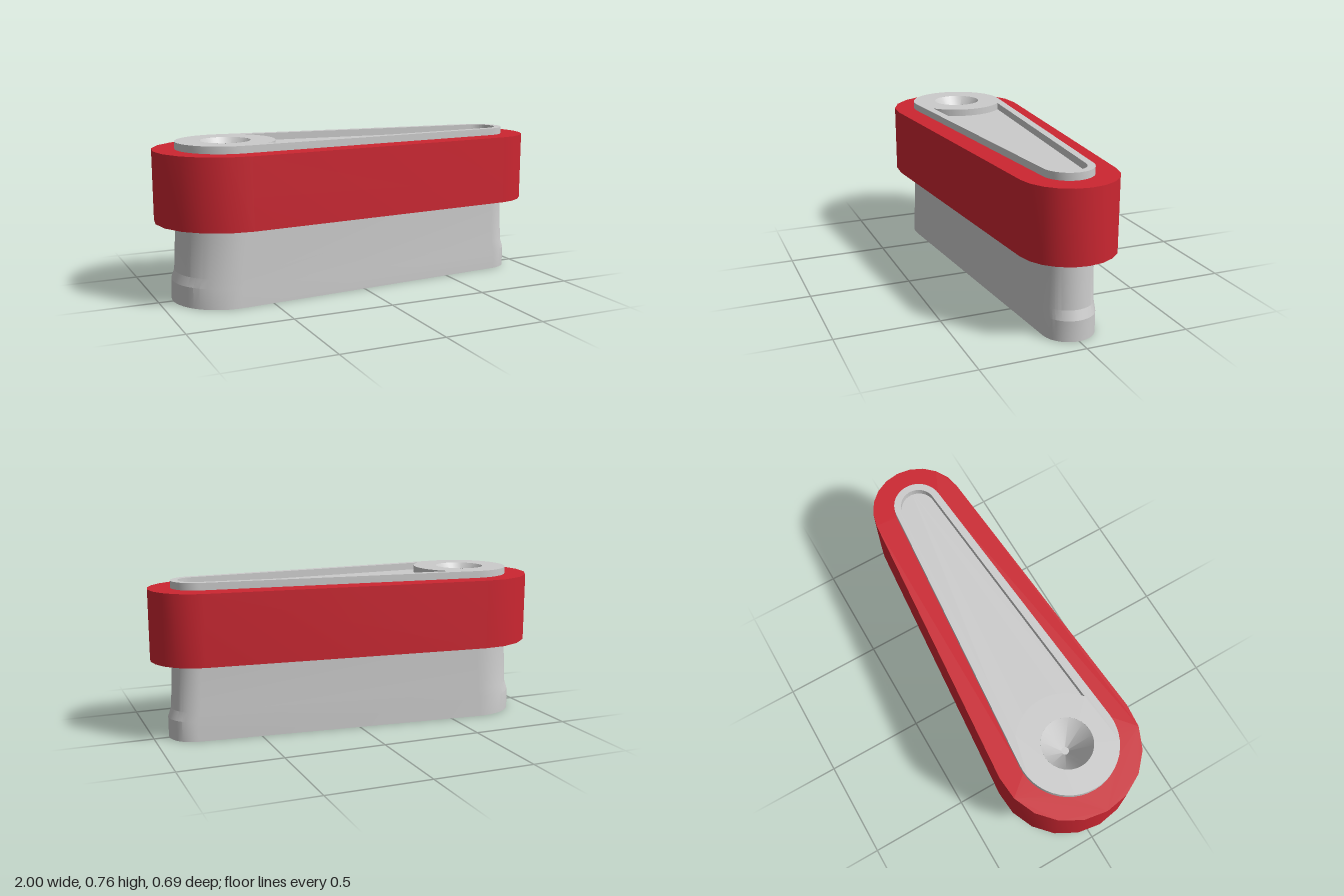
import * as THREE from 'three';
import { toCreasedNormals } from 'three/addons/utils/BufferGeometryUtils.js';

const BIG_X = -0.65, SMALL_X = 0.77; // centres of the wide and narrow ends
const TOP = 0.765, FLOOR = 0.73, COLLAR_BOTTOM = 0.385;
const HOLE_R = 0.122;

// Counter-clockwise outline around two circles joined by tangents
function teardrop(bigX, bigR, smallX, smallR, n) {
  const a = Math.acos((bigR - smallR) / (smallX - bigX));
  const pts = [];
  const arc = (cx, r, from, to) => {
    for (let i = 0; i <= n; i++) {
      const t = from + (to - from) * i / n;
      pts.push(new THREE.Vector2(cx + r * Math.cos(t), r * Math.sin(t)));
    }
  };
  arc(smallX, smallR, -a, a);
  arc(bigX, bigR, a, 2 * Math.PI - a);
  return pts;
}

// Upright prism from a shape, standing on height y
function prism(shape, y, height) {
  const g = new THREE.ExtrudeGeometry(shape, { depth: height, bevelEnabled: false, curveSegments: 32 });
  g.rotateX(-Math.PI / 2).translate(0, y, 0);
  return toCreasedNormals(g, 0.5);
}

// Side wall through a stack of outlines
function loft(levels) {
  const pos = [], index = [], n = levels[0].pts.length;
  for (const { y, pts } of levels) for (const p of pts) pos.push(p.x, y, -p.y);
  for (let j = 0; j < levels.length - 1; j++) {
    for (let i = 0; i < n; i++) {
      const a = j * n + i, b = j * n + (i + 1) % n;
      index.push(a, b, b + n, a, b + n, a + n);
    }
  }
  const g = new THREE.BufferGeometry();
  g.setAttribute('position', new THREE.Float32BufferAttribute(pos, 3));
  g.setIndex(index);
  return toCreasedNormals(g, 0.25);
}

function circleHole() {
  return new THREE.Path().absarc(BIG_X, 0, HOLE_R, 0, Math.PI * 2, true);
}

export function createModel() {
  const model = new THREE.Group();
  const grey = new THREE.MeshStandardMaterial({ color: 0xcccccc });
  const greyDouble = new THREE.MeshStandardMaterial({ color: 0xcccccc, side: THREE.DoubleSide });
  const red = new THREE.MeshStandardMaterial({ color: 0xcc2631 });
  const add = (name, geometry, material = grey) => {
    const mesh = new THREE.Mesh(geometry, material);
    mesh.name = name;
    model.add(mesh);
  };

  // Flared body: height, lengthwise stretch of each end, end radii
  const levels = [
    [0, 0.03, 0.25, 0.125],
    [0.1, 0.03, 0.248, 0.125],
    [0.145, 0.016, 0.246, 0.123],
    [COLLAR_BOTTOM, 0.005, 0.243, 0.121],
    [FLOOR, 0, 0.24, 0.12],
  ].map(([y, s, R, r]) => ({ y, pts: teardrop(BIG_X - s, R, SMALL_X + s, r, 24) }));
  add('bodyWall', loft(levels));

  const bottom = new THREE.ShapeGeometry(new THREE.Shape(levels[0].pts));
  add('bodyBottom', bottom.rotateX(Math.PI / 2));

  // Floor of the pocket
  const floor = new THREE.Shape(levels[4].pts);
  floor.holes.push(circleHole());
  add('pocketFloor', new THREE.ShapeGeometry(floor, 32).rotateX(-Math.PI / 2).translate(0, FLOOR, 0));

  // Raised rim, cut by the tapered pocket and the round hole
  const rim = new THREE.Shape(levels[4].pts);
  const pocket = new THREE.Path();
  pocket.moveTo(-0.5, -0.187);
  pocket.absarc(SMALL_X, 0, 0.085, -1.49, 1.49, false);
  pocket.lineTo(-0.5, 0.187);
  pocket.absarc(BIG_X, 0, 0.24, 0.895, -0.895, true);
  rim.holes.push(pocket, circleHole());
  add('topRim', prism(rim, FLOOR, TOP - FLOOR));

  // Conical recess in the wide end
  const cone = new THREE.LatheGeometry([
    new THREE.Vector2(0, TOP - 0.14),
    new THREE.Vector2(0.018, TOP - 0.14),
    new THREE.Vector2(HOLE_R, TOP),
  ], 32);
  add('conicalRecess', toCreasedNormals(cone.translate(BIG_X, 0, 0), 0.5), greyDouble);

  // Coloured collar around the body
  const collar = new THREE.Shape(teardrop(BIG_X - 0.005, 0.345, SMALL_X, 0.23, 10));
  collar.holes.push(new THREE.Path(teardrop(BIG_X, 0.24, SMALL_X, 0.12, 24)));
  add('collar', prism(collar, COLLAR_BOTTOM, FLOOR - COLLAR_BOTTOM), red);

  return model;
}
